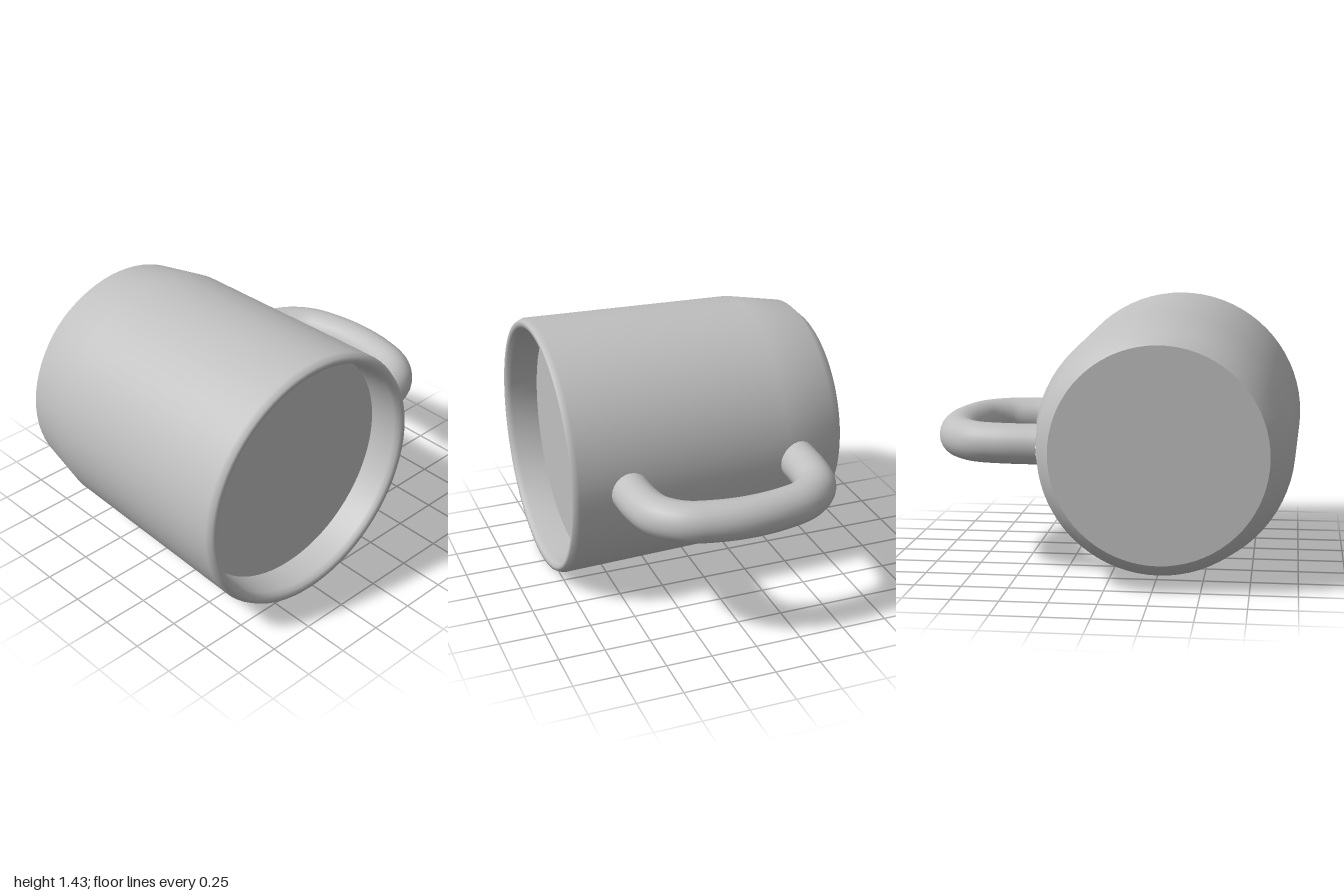
import * as THREE from 'three';

export function createModel() {
  const group = new THREE.Group();
  group.name = 'mug';
  const grey = new THREE.MeshStandardMaterial({ color: 0xc0c0c0 });
  grey.name = 'light grey';

  const CX = -0.283, CY = 0.72; // axis of the cup, lying along z
  const add = (name, geometry, z = 0) => {
    const mesh = new THREE.Mesh(geometry, grey);
    mesh.name = name;
    mesh.position.set(CX, CY, z);
    group.add(mesh);
    return mesh;
  };

  // Cup wall: outside from base to lip, then inside back down (radius, z)
  const profile = [
    [0.565, -0.8], [0.632, -0.73], [0.69, -0.43], [0.717, 0.765],
    [0.703, 0.797], [0.685, 0.8], [0.665, 0.793], [0.654, 0.765],
    [0.64, 0.6], [0.625, -0.4], [0.56, -0.68],
  ].map(([r, z]) => new THREE.Vector2(r, z));
  add('cupWall', new THREE.LatheGeometry(profile, 72).rotateX(Math.PI / 2));

  // Flat base, inner floor and the surface of the filling
  add('base', new THREE.CircleGeometry(0.565, 72).rotateY(Math.PI), -0.8);
  add('innerFloor', new THREE.CircleGeometry(0.56, 72), -0.68);
  add('fillingSurface', new THREE.CircleGeometry(0.642, 72), 0.615);

  // Handle: a bent tube with both ends buried in the wall
  const path = new THREE.CatmullRomCurve3([
    [0.37, -0.495], [0.58, -0.483], [0.72, -0.445], [0.825, -0.335],
    [0.874, -0.18], [0.892, 0], [0.874, 0.18], [0.825, 0.335],
    [0.72, 0.437], [0.58, 0.474], [0.38, 0.483],
  ].map(([x, z]) => new THREE.Vector3(x, 0, z)));
  const handle = add('handle', new THREE.TubeGeometry(path, 64, 0.108, 24));
  handle.position.x = 0;

  return group;
}
